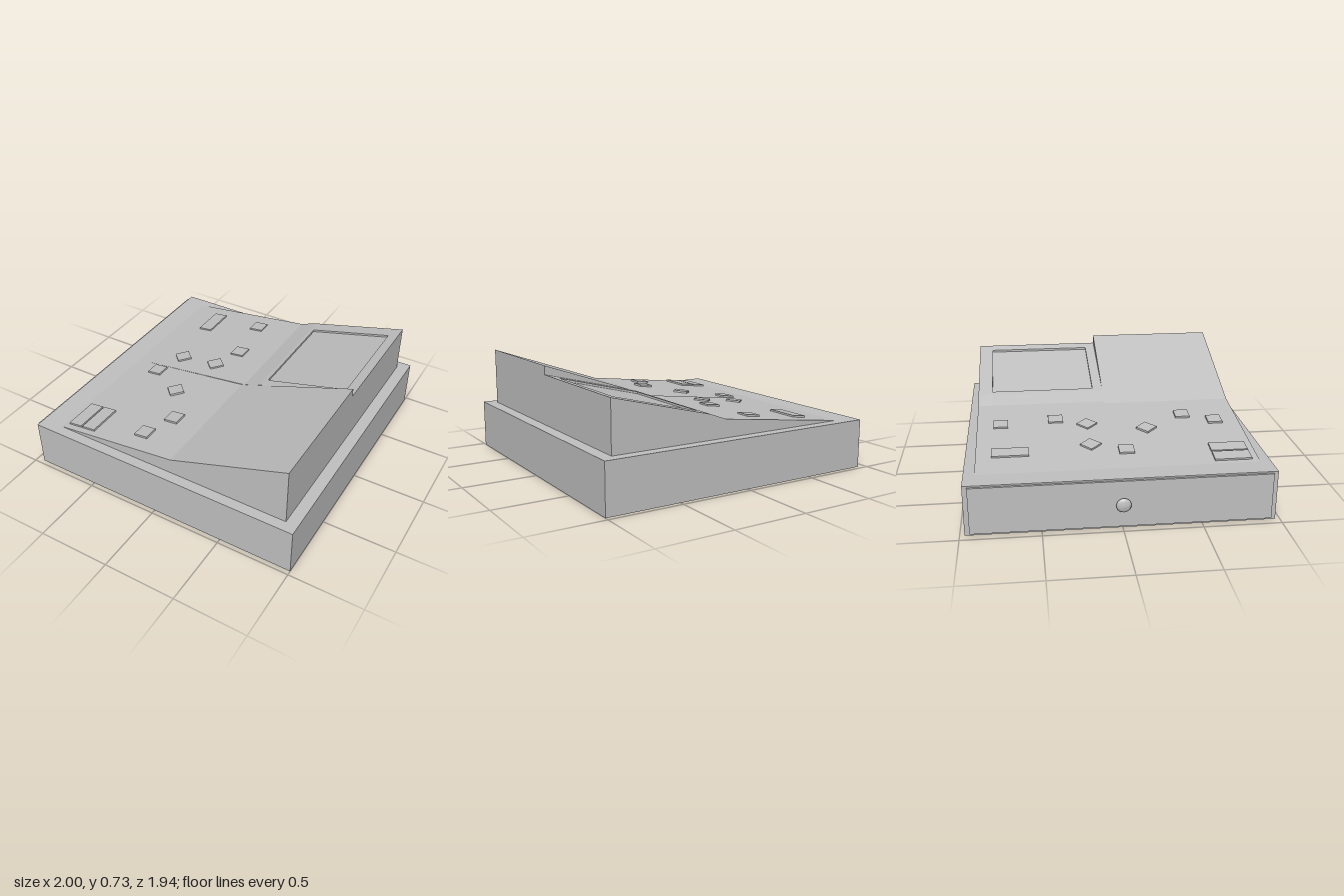
import * as THREE from 'three';

export function createModel() {
  const model = new THREE.Group();
  const grey = new THREE.MeshStandardMaterial({ color: 0xc0c0c0 });
  grey.name = 'light grey';

  const add = (name, geometry, x = 0, y = 0, z = 0) => {
    const mesh = new THREE.Mesh(geometry, grey);
    mesh.name = name;
    mesh.position.set(x, y, z);
    model.add(mesh);
    return mesh;
  };

  // Plinth with a drawer front on its -x side
  add('base', new THREE.BoxGeometry(1.945, 0.33, 1.94), 0.0275, 0.165, 0);
  add('drawerFront', new THREE.BoxGeometry(0.02, 0.305, 1.88), -0.95, 0.1675, 0);

  // Rounded knob
  const knob = new THREE.LatheGeometry([
    [0.024, 0], [0.024, 0.008], [0.042, 0.012], [0.047, 0.02], [0.042, 0.03], [0.028, 0.037], [0, 0.04],
  ].map(([r, h]) => new THREE.Vector2(r, h)), 28);
  add('knob', knob, -0.96, 0.168, 0).rotation.z = Math.PI / 2;

  // Sloping body: side profiles extruded along z
  const slab = (name, top, z0, z1) => {
    const shape = new THREE.Shape();
    shape.moveTo(-0.79, 0.328);
    shape.lineTo(0.92, 0.328);
    [...top].reverse().forEach(([x, y]) => shape.lineTo(x, y));
    add(name, new THREE.ExtrudeGeometry(shape, { depth: z1 - z0, bevelEnabled: false }), 0, 0, z0);
  };
  const start = [-0.79, 0.33];
  const lowTop = [start, [0.12, 0.447], [0.24, 0.492], [0.92, 0.665]];
  const lowY = (x) => 0.492 + (x - 0.24) * 0.2544;
  const d = 0.015; // depth of the sunken panel
  const sunkTop = [start, [0.12, 0.447], [0.24, 0.492], [0.27, lowY(0.27)], [0.27, lowY(0.27) - d],
    [0.85, lowY(0.85) - d], [0.85, lowY(0.85)], [0.92, 0.665]];
  slab('highSlope', [start, [0.1, 0.44], [0.92, 0.725]], 0, 0.9);
  slab('lowSlopeInner', lowTop, -0.07, 0);
  slab('lowSlopePanel', sunkTop, -0.8, -0.07);
  slab('lowSlopeOuter', lowTop, -0.9, -0.8);

  // Buttons lying on the shallow slope: x, z, length along z, turn
  const tilt = Math.atan(0.1245);
  const buttons = [
    [-0.55, -0.68, 0.24, 0], [-0.706, 0.735, 0.24, 0], [-0.595, 0.735, 0.24, 0],
    [-0.17, -0.74, 0.1, 0], [-0.125, -0.366, 0.1, 0], [-0.57, 0.07, 0.1, 0],
    [-0.12, 0.52, 0.1, 0], [-0.214, 0.731, 0.1, 0],
    [-0.49, -0.155, 0.1, 1], [-0.21, -0.155, 0.1, 1], [-0.295, 0.243, 0.1, 1],
  ];
  for (const [x, z, length, turned] of buttons) {
    const geometry = new THREE.BoxGeometry(0.1, 0.03, length);
    if (turned) geometry.rotateY(Math.PI / 4);
    const y = 0.33 + (x + 0.79) * 0.1265;
    add(length > 0.2 ? 'longButton' : 'squareButton', geometry, x, y - 0.003, z).rotation.z = tilt;
  }

  return model;
}
